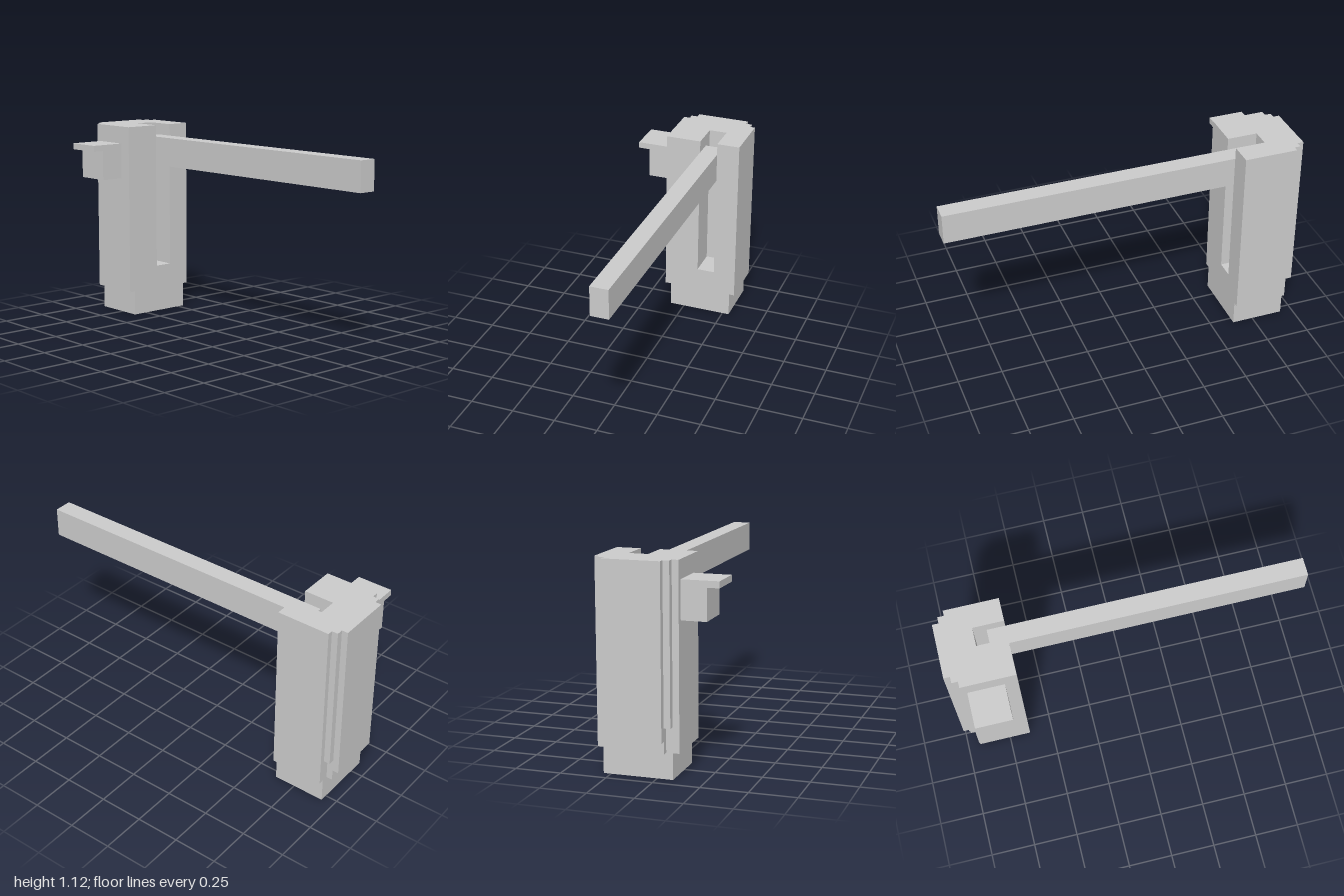
import * as THREE from 'three';

const material = new THREE.MeshStandardMaterial({ color: 0xcccccc, flatShading: true });

// Box given by its extents on each axis
function box(name, [x0, x1], [y0, y1], [z0, z1]) {
  const mesh = new THREE.Mesh(new THREE.BoxGeometry(x1 - x0, y1 - y0, z1 - z0), material);
  mesh.position.set((x0 + x1) / 2, (y0 + y1) / 2, (z0 + z1) / 2);
  mesh.name = name;
  return mesh;
}

// Vertical prism from a floor plan of [x, z] points
function prism(name, plan, y0, y1) {
  const shape = new THREE.Shape(plan.map(([x, z]) => new THREE.Vector2(x, -z)));
  const geometry = new THREE.ExtrudeGeometry(shape, { depth: y1 - y0, bevelEnabled: false });
  geometry.rotateX(-Math.PI / 2).translate(0, y0, 0);
  const mesh = new THREE.Mesh(geometry, material);
  mesh.name = name;
  return mesh;
}

export function createModel() {
  const model = new THREE.Group();
  model.name = 'postWithArm';

  const post = new THREE.Group();
  post.name = 'post';
  const postX = [-0.93, -0.63];
  const slotFloor = 0.275;

  // Slotted upper post with stepped edges on its outer side
  post.add(prism('slottedPost', [
    [-0.63, 0.12], [-0.63, -0.085], [-0.8, -0.085], [-0.8, -0.188], [-0.63, -0.188],
    [-0.63, -0.32], [-0.93, -0.32], [-0.93, -0.29], [-0.965, -0.29], [-0.965, -0.255],
    [-1, -0.255], [-1, 0.05], [-0.965, 0.05], [-0.965, 0.085], [-0.93, 0.085], [-0.93, 0.12],
  ], slotFloor, 1.12));

  // Solid lower post, foot and the stepped end of the outer panel
  post.add(
    box('lowerPost', postX, [0.14, slotFloor], [-0.32, 0.12]),
    box('foot', postX, [0, 0.14], [-0.29, 0.085]),
    box('panelInnerStep', [-0.965, -0.93], [0.14, slotFloor], [-0.255, 0.05]),
    box('panelOuterStep', [-1, -0.965], [0.205, slotFloor], [-0.255, 0.05]),
  );

  // Long arm seated in the slot
  const arm = box('arm', [-0.73, 1], [0.885, 1.052], [-0.187, -0.086]);

  // Catch on the front with an overhanging lip
  const catchGroup = new THREE.Group();
  catchGroup.name = 'catch';
  catchGroup.add(
    box('catchBlock', [-0.9, -0.7], [0.815, 0.985], [0.12, 0.255]),
    box('catchLip', [-0.9, -0.7], [0.985, 1.02], [0.12, 0.32]),
  );

  model.add(post, arm, catchGroup);
  return model;
}
